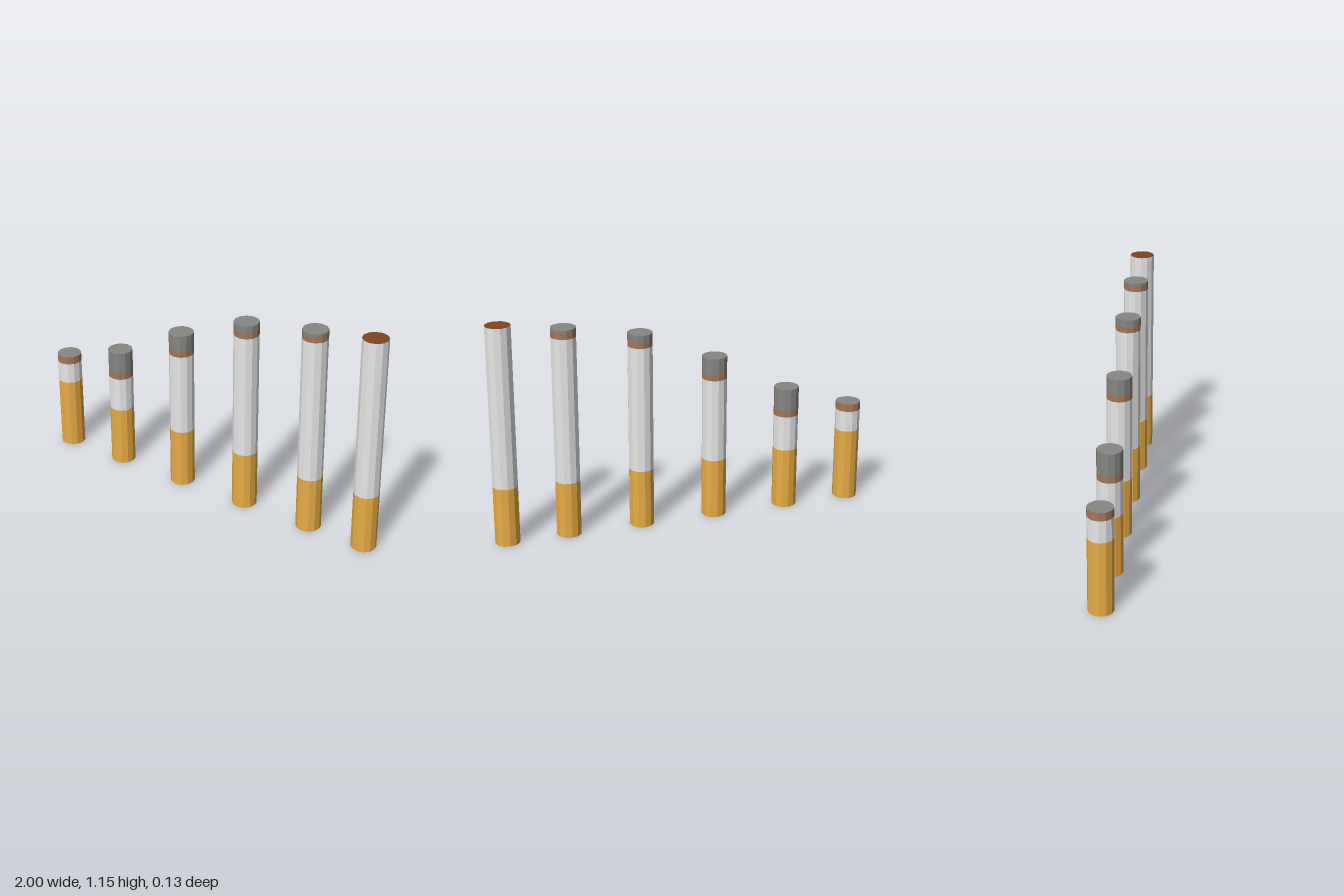
import * as THREE from 'three';

const RADIUS = 0.065;
const SIDES = 12;

const flat = (name, color) => {
  const m = new THREE.MeshStandardMaterial({ color });
  m.name = name;
  return m;
};

export function createModel() {
  const paper = flat('white paper', 0xeeeeee);
  const filter = flat('golden filter', 0xecb046);
  const ash = flat('grey ash', 0x868684);
  const scorch = flat('scorched paper', 0xa67659);
  const tobacco = flat('brown tobacco', 0x7e4422);

  // Open faceted tube from y0 to y1
  const sleeve = (name, y0, y1, material) => {
    const geo = new THREE.CylinderGeometry(RADIUS, RADIUS, y1 - y0, SIDES, 1, true).toNonIndexed();
    geo.computeVertexNormals();
    const mesh = new THREE.Mesh(geo, material);
    mesh.name = name;
    mesh.position.y = (y0 + y1) / 2;
    return mesh;
  };

  // End disc facing up or down, corners matched to the sleeves
  const disc = (name, y, up, material) => {
    const mesh = new THREE.Mesh(new THREE.CircleGeometry(RADIUS, SIDES), material);
    mesh.name = name;
    mesh.rotation.x = up ? -Math.PI / 2 : Math.PI / 2;
    mesh.position.y = y;
    return mesh;
  };

  // x position, then the top of filter, paper, scorched ring and ash
  const sticks = [
    [-0.935, 0.39, 0.503, 0.545, 0.545],
    [-0.578, 0.327, 0.515, 0.55, 0.668],
    [-0.177, 0.32, 0.762, 0.795, 0.88],
    [0.22, 0.314, 0.977, 1.01, 1.045],
    [0.611, 0.3, 1.065, 1.095, 1.111],
    [0.933, 0.313, 1.152, 1.152, 1.152],
  ];

  const model = new THREE.Group();
  model.name = 'cigaretteRow';
  sticks.forEach(([x, filterTop, paperTop, scorchTop, top], i) => {
    const stick = new THREE.Group();
    stick.name = `cigarette${i + 1}`;
    stick.position.x = x;
    stick.add(sleeve('filter', 0, filterTop, filter));
    stick.add(sleeve('paper', filterTop, paperTop, paper));
    if (scorchTop > paperTop) stick.add(sleeve('scorchedRing', paperTop, scorchTop, scorch));
    if (top > scorchTop) stick.add(sleeve('ash', scorchTop, top, ash));
    const burnt = scorchTop > paperTop;
    stick.add(disc('tip', top, true, burnt ? ash : tobacco));
    stick.add(disc('filterEnd', 0, false, ash));
    model.add(stick);
  });
  return model;
}
